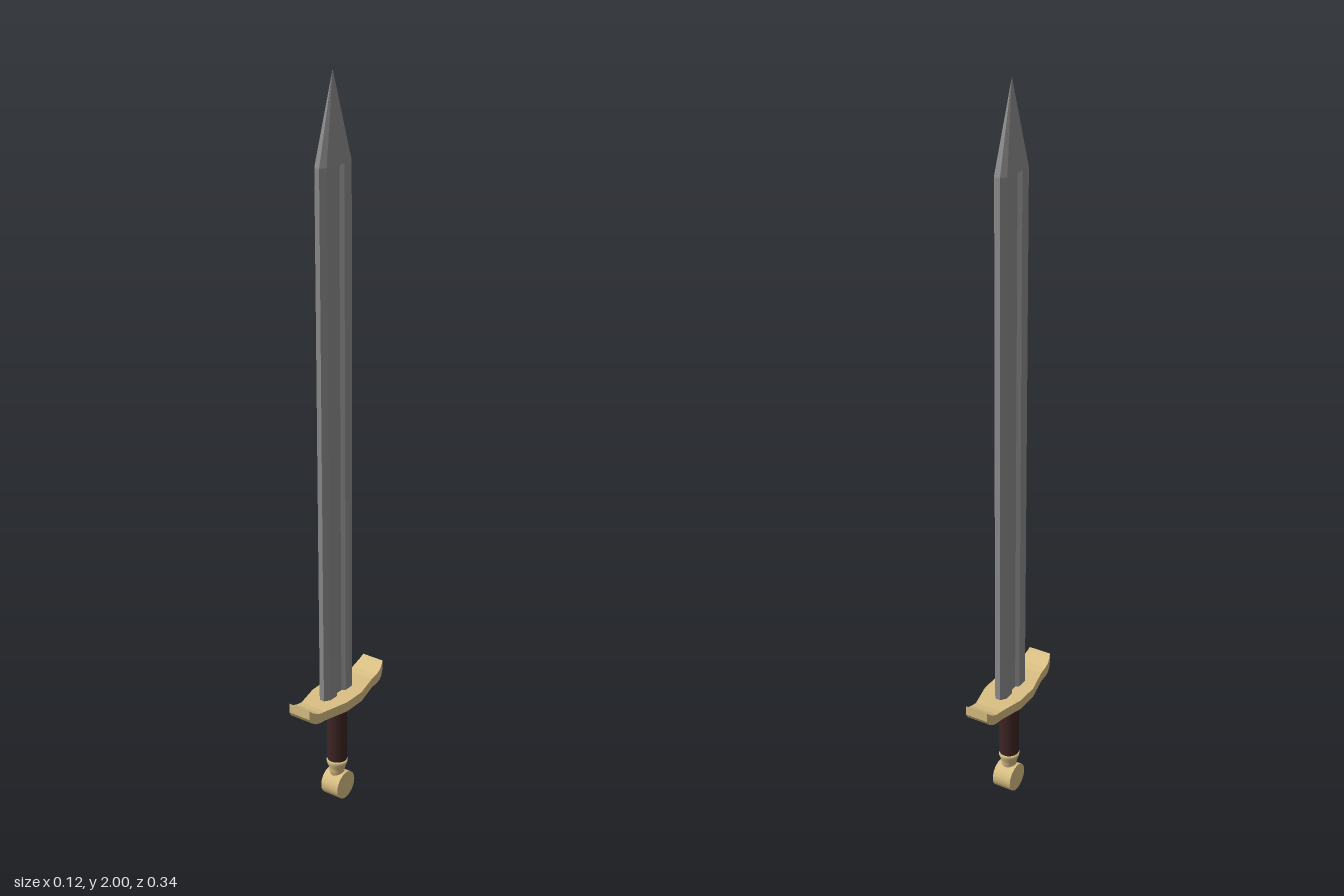
import * as THREE from 'three';

// Skin a stack of equal-length rings of [x, y, z] points, closing both ends.
function loft(rings) {
  const pos = [];
  const n = rings[0].length;
  const tri = (...pts) => pts.forEach((p) => pos.push(...p));
  for (let i = 0; i < rings.length - 1; i++) {
    for (let j = 0; j < n; j++) {
      const k = (j + 1) % n;
      const a = rings[i][j], b = rings[i][k], c = rings[i + 1][k], d = rings[i + 1][j];
      tri(a, b, c);
      tri(a, c, d);
    }
  }
  const centre = (ring) => [0, 1, 2].map((q) => ring.reduce((s, p) => s + p[q], 0) / n);
  const first = rings[0], last = rings[rings.length - 1];
  for (let j = 0; j < n; j++) {
    const k = (j + 1) % n;
    tri(centre(first), first[k], first[j]);
    tri(centre(last), last[j], last[k]);
  }
  const geo = new THREE.BufferGeometry();
  geo.setAttribute('position', new THREE.Float32BufferAttribute(pos, 3));
  geo.computeVertexNormals();
  return geo;
}

export function createModel() {
  const group = new THREE.Group();
  const material = (name, color) => {
    const m = new THREE.MeshStandardMaterial({ color });
    m.name = name;
    return m;
  };
  const steel = material('steel', 0x8e8e8e);
  const gold = material('gold', 0xdac084);
  const leather = material('leather', 0x3e2424);

  const add = (name, geo, mat) => {
    const mesh = new THREE.Mesh(geo, mat);
    mesh.name = name;
    group.add(mesh);
    return mesh;
  };

  // Blade: leans slightly towards +x and +z, with a fuller on both faces
  const shoulder = 1.78;
  const section = (half, y, scale = 1) => {
    const t = (y - 0.33) / (shoulder - 0.33);
    const cx = -0.002 + 0.016 * t, cz = 0.002 + 0.033 * t;
    const mirrored = half.map(([x, z]) => [-x, -z]);
    return [...half, ...mirrored].map(([x, z]) => [cx + x * scale, y, cz + z * scale]);
  };
  const outline = [[0.007, 0.065], [0.018, 0.05], [0.018, -0.05], [0.007, -0.065]];
  const grooved = [
    [0.007, 0.065], [0.018, 0.05], [0.018, 0.02], [0.009, 0.012],
    [0.009, -0.012], [0.018, -0.02], [0.018, -0.05], [0.007, -0.065],
  ];
  add('blade', loft([section(grooved, 0.32), section(grooved, shoulder)]), steel);
  add('bladeTip', loft([section(outline, shoulder), section(outline, 2, 0.01)]), steel);

  // Crossguard: [z, half width, bottom, top] from the middle out to one end
  const side = [
    [0.033, 0.058, 0.304, 0.332], [0.108, 0.04, 0.306, 0.333], [0.13, 0.04, 0.308, 0.337],
    [0.148, 0.039, 0.313, 0.344], [0.16, 0.036, 0.32, 0.352], [0.169, 0.033, 0.334, 0.361],
  ];
  const stations = [...side.map(([z, ...r]) => [-z, ...r]).reverse(), ...side];
  add('crossguard', loft(stations.map(([z, w, lo, hi]) => [
    [w, lo, z], [w, hi, z], [-w, hi, z], [-w, lo, z],
  ])), gold);

  // Grip: wound leather, shown as shallow ridges
  const wraps = 9, low = 0.115, high = 0.306;
  const profile = [];
  for (let i = 0; i <= wraps * 2; i++) {
    profile.push(new THREE.Vector2(i % 2 ? 0.029 : 0.026, low + ((high - low) * i) / (wraps * 2)));
  }
  add('grip', new THREE.LatheGeometry(profile, 16), leather);

  // Collar between grip and pommel
  const collar = [[0, 0.06], [0.02, 0.06], [0.021, 0.085], [0.025, 0.1], [0.029, 0.11], [0.029, 0.12], [0, 0.12]];
  add('collar', new THREE.LatheGeometry(collar.map(([r, y]) => new THREE.Vector2(r, y)), 20), gold);

  // Pommel: disc lying across the grip
  const pommel = add('pommel', new THREE.CylinderGeometry(0.04, 0.04, 0.056, 24), gold);
  pommel.rotation.z = Math.PI / 2;
  pommel.position.set(0, 0.04, -0.003);

  return group;
}
